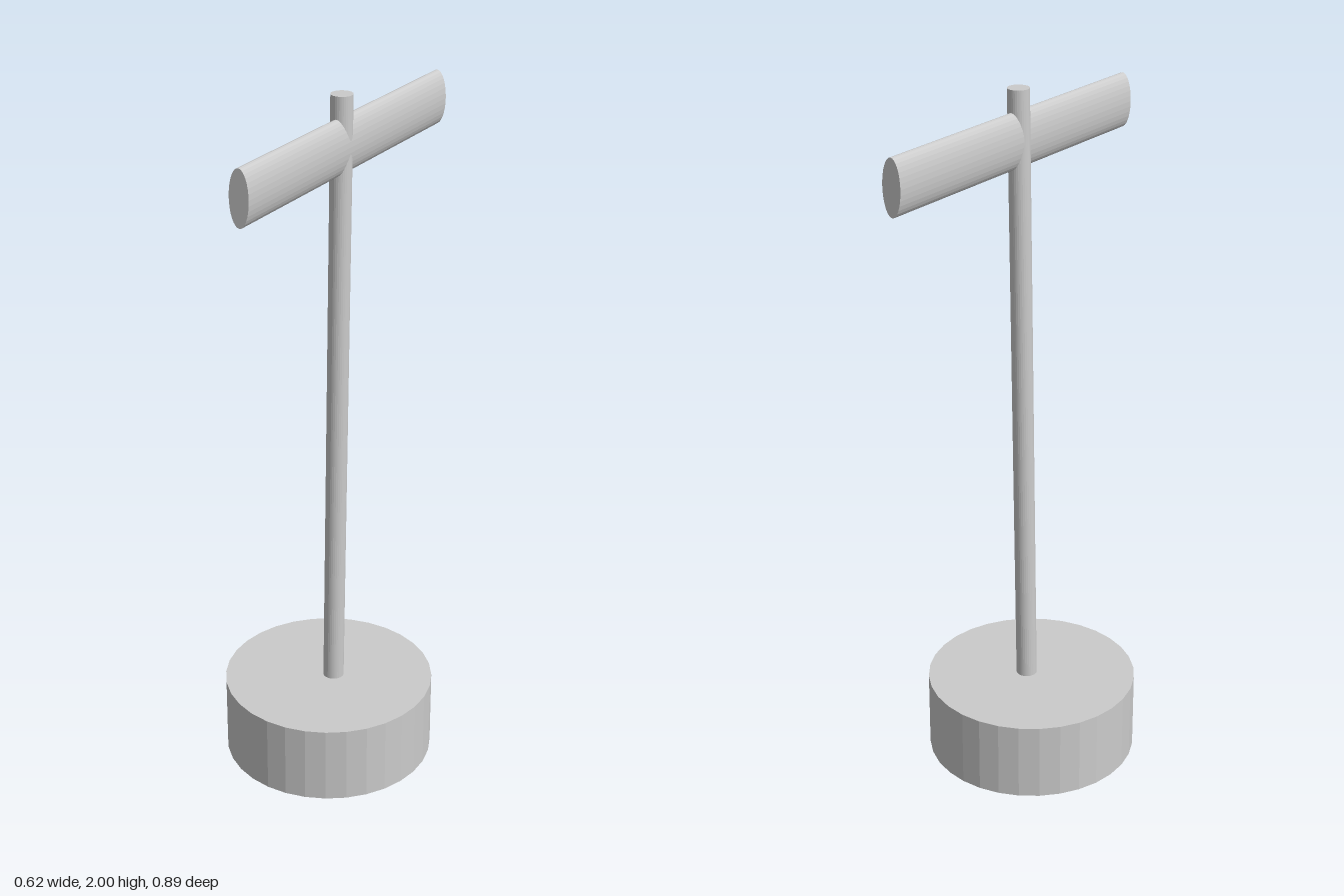
import * as THREE from 'three';

const material = new THREE.MeshStandardMaterial({ color: 0xcccccc, flatShading: true });

function addPart(group, name, geometry) {
  const mesh = new THREE.Mesh(geometry, material);
  mesh.name = name;
  group.add(mesh);
  return mesh;
}

export function createModel() {
  const group = new THREE.Group();

  // Heavy round base
  const baseHeight = 0.23;
  addPart(group, 'base', new THREE.CylinderGeometry(0.305, 0.305, baseHeight, 32))
    .position.set(-0.006, baseHeight / 2, 0.01);

  // Pole, sheared slightly towards +x so that its ends stay level
  const bottom = new THREE.Vector3(0.007, 0.1, 0.011);
  const top = new THREE.Vector3(0.029, 2, 0.011);
  const poleHeight = top.y - bottom.y;
  const pole = new THREE.CylinderGeometry(0.03, 0.03, poleHeight, 32);
  const shear = new THREE.Matrix4();
  shear.elements[4] = (top.x - bottom.x) / poleHeight;
  pole.applyMatrix4(shear);
  addPart(group, 'pole', pole).position.addVectors(bottom, top).multiplyScalar(0.5);

  // Crossbar with a tall oval section, turned diagonally
  const bar = new THREE.CylinderGeometry(1, 1, 1, 32);
  bar.rotateZ(Math.PI / 2);
  bar.scale(0.989, 0.077, 0.029);
  const crossbar = addPart(group, 'crossbar', bar);
  crossbar.position.set(0.037, 1.862, -0.002);
  crossbar.rotation.y = Math.PI / 3;

  return group;
}
